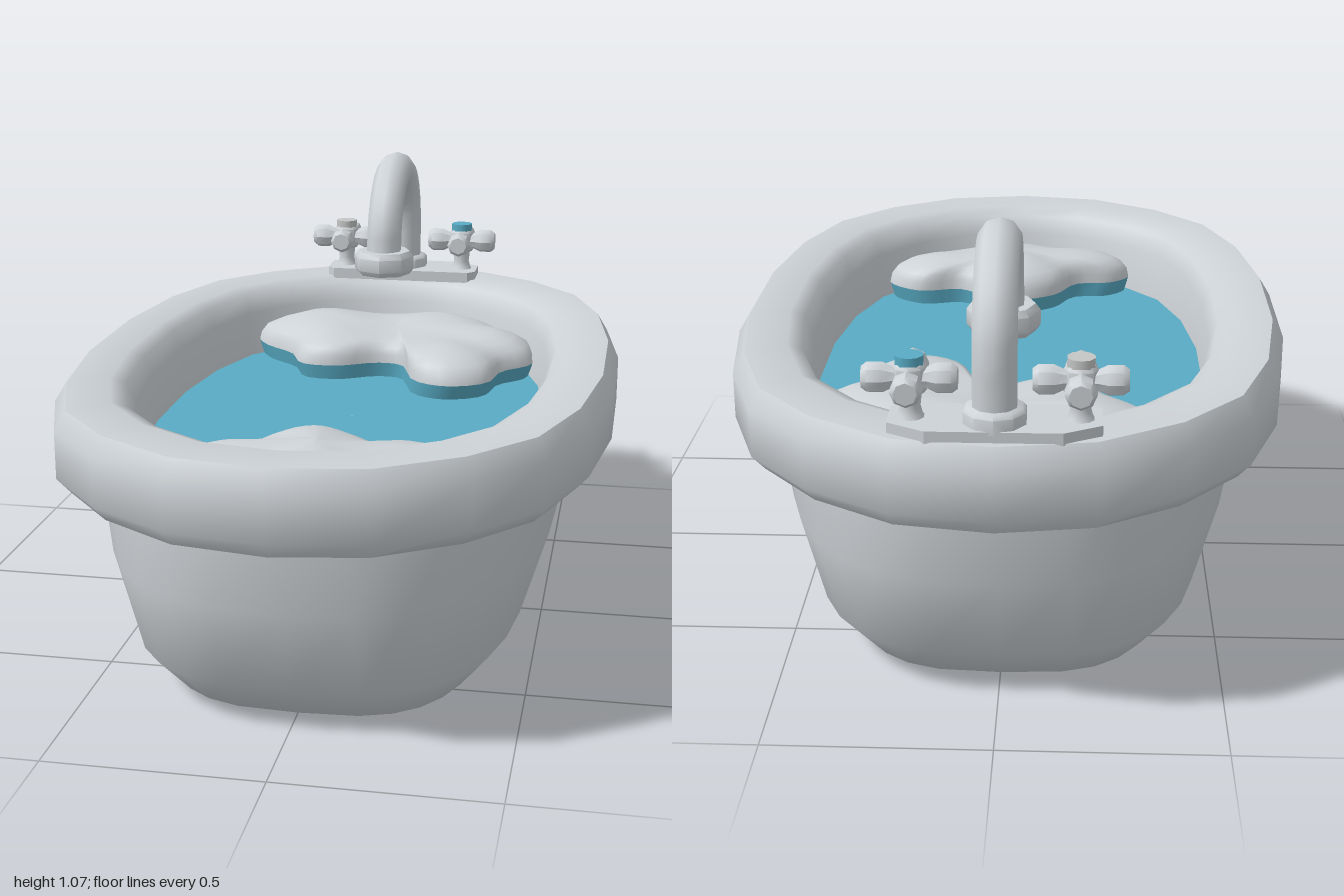
import * as THREE from 'three';
import { toCreasedNormals } from 'three/addons/utils/BufferGeometryUtils.js';

const mat = (name, color, side = THREE.FrontSide) => {
  const m = new THREE.MeshStandardMaterial({ color, side });
  m.name = name;
  return m;
};

// Joins closed rings of [x, y, z] points into a skin; rings run +z towards +x, bottom to top.
function loft(rings, crease = 0.9) {
  const n = rings[0].length, index = [];
  for (let i = 0; i < rings.length - 1; i++) {
    for (let j = 0; j < n; j++) {
      const k = (j + 1) % n;
      const a = i * n + j, b = i * n + k, c = a + n, d = b + n;
      index.push(a, b, d, a, d, c);
    }
  }
  const g = new THREE.BufferGeometry();
  g.setAttribute('position', new THREE.Float32BufferAttribute(rings.flat(2), 3));
  g.setIndex(index);
  return toCreasedNormals(g, crease);
}

// Unit oval of the rim: one quadrant mirrored to 22 points.
function ovalOutline() {
  const q = [[0, 1], [0.33, 0.965], [0.61, 0.85], [0.82, 0.69], [0.94, 0.46], [1, 0.17]];
  const right = [...q, ...q.slice().reverse().map(([x, z]) => [x, -z])];
  const left = right.slice(1, -1).reverse().map(([x, z]) => [-x, z]);
  return [...right, ...left];
}

// Rounded rectangle ring for the body.
function bodyRing(rx, rz, y, power, n = 32) {
  return Array.from({ length: n }, (_, i) => {
    const a = (i / n) * Math.PI * 2, s = Math.sin(a), c = Math.cos(a);
    const p = 2 / power;
    return [rx * Math.sign(s) * Math.abs(s) ** p, y, rz * Math.sign(c) * Math.abs(c) ** p];
  });
}

// Lumpy foam patch: a star-shaped outline stepped inwards into a dome.
function foam(name, points, center, bumps, foamMat, waterMat, waterY) {
  const curve = new THREE.CatmullRomCurve3(points.map(([x, z]) => new THREE.Vector3(x, 0, z)), true);
  const outline = curve.getPoints(56).slice(0, -1);
  const ring = (s, h) => outline.map((p) => {
    const x = center[0] + (p.x - center[0]) * s, z = center[1] + (p.z - center[1]) * s;
    let lump = 0;
    for (const [bx, bz, r, k] of bumps) lump += k * Math.exp(-((x - bx) ** 2 + (z - bz) ** 2) / (r * r));
    return [x, waterY + h + lump * Math.max(0, 1 - s) ** 0.5, z];
  });
  const group = new THREE.Group();
  group.name = name;
  const skirt = new THREE.Mesh(loft([ring(0.95, -0.02), ring(0.98, 0.015), ring(1, 0.04)], 3), waterMat);
  skirt.name = 'foamWetEdge';
  const steps = [[1, 0.04], [0.985, 0.062], [0.94, 0.08], [0.85, 0.092], [0.7, 0.097], [0.5, 0.1], [0.25, 0.1], [0.001, 0.1]];
  const cap = new THREE.Mesh(loft(steps.map(([s, h]) => ring(s, h)), 3), foamMat);
  cap.name = 'foamTop';
  group.add(skirt, cap);
  return group;
}

const lathe = (pts, sides, crease = 0.9) =>
  toCreasedNormals(new THREE.LatheGeometry(pts.map(([r, y]) => new THREE.Vector2(r, y)), sides), crease);

export function createModel() {
  const model = new THREE.Group();
  const porcelain = mat('porcelain grey', 0xcdd2d6);
  const metal = mat('pipe grey', 0xcdd2d6, THREE.DoubleSide);
  const water = mat('water blue', 0x58abc4);
  const plain = mat('plain cap grey', 0xc4c5c5);
  const add = (name, geo, material, parent = model) => {
    const m = new THREE.Mesh(geo, material);
    m.name = name;
    parent.add(m);
    return m;
  };
  const waterY = 0.5, oval = ovalOutline();
  const ovalRing = (rx, rz, y) => oval.map(([x, z]) => [x * rx, y, z * rz]);

  // Tapered body with a flat bottom
  add('tubBody', loft([
    bodyRing(0.001, 0.001, 0, 3.2),
    bodyRing(0.39, 0.69, 0.005, 3.2),
    bodyRing(0.47, 0.79, 0.105, 3),
    bodyRing(0.535, 0.848, 0.31, 2.7),
    bodyRing(0.58, 0.858, 0.5, 2.4),
  ], 1), porcelain);

  // Thick rim rolling over into the inner wall
  add('rim', loft([
    ovalRing(0.5, 0.76, 0.495),
    ovalRing(0.632, 0.975, 0.495),
    ovalRing(0.664, 1, 0.53),
    ovalRing(0.664, 1, 0.64),
    ovalRing(0.637, 0.975, 0.685),
    ovalRing(0.54, 0.86, 0.685),
    ovalRing(0.507, 0.815, 0.668),
    ovalRing(0.488, 0.79, 0.62),
    ovalRing(0.475, 0.775, 0.48),
  ]), porcelain);

  // Water surface
  add('water', loft([ovalRing(0.48, 0.78, waterY), ovalRing(0.001, 0.001, waterY)]), water);

  // Foam patches at both ends
  model.add(foam('backFoam', [
    [0, -0.75], [0.2, -0.73], [0.31, -0.67], [0.35, -0.6], [0.42, -0.53], [0.42, -0.42], [0.35, -0.34],
    [0.32, -0.22], [0.22, -0.17], [0.13, -0.21], [0.07, -0.36], [0, -0.37], [-0.1, -0.32], [-0.2, -0.33],
    [-0.25, -0.43], [-0.34, -0.51], [-0.38, -0.6], [-0.29, -0.68], [-0.15, -0.73],
  ].reverse(), [0.03, -0.54],
  [[0.22, -0.28, 0.09, 0.04], [0.32, -0.48, 0.1, 0.04], [-0.15, -0.42, 0.1, 0.03], [-0.2, -0.62, 0.13, 0.05], [0.15, -0.64, 0.12, 0.04]],
  porcelain, water, waterY));
  model.add(foam('frontFoam', [
    [-0.31, 0.63], [-0.26, 0.57], [-0.16, 0.55], [-0.1, 0.45], [0, 0.4], [0.1, 0.44], [0.17, 0.49], [0.28, 0.47],
    [0.37, 0.54], [0.36, 0.61], [0.25, 0.69], [0.1, 0.76], [-0.05, 0.76], [-0.15, 0.72], [-0.28, 0.69],
  ].reverse(), [0.03, 0.6],
  [[0, 0.5, 0.1, 0.04], [0.25, 0.56, 0.1, 0.03], [-0.18, 0.63, 0.1, 0.03], [0.03, 0.68, 0.1, 0.03]],
  porcelain, water, waterY));

  // Tap mounting plate with cut corners
  const s = new THREE.Shape([
    [-0.22, 0.82], [-0.2, 0.8], [0.2, 0.8], [0.22, 0.82], [0.22, 0.91], [0.14, 0.955], [-0.14, 0.955], [-0.22, 0.91],
  ].map(([x, y]) => new THREE.Vector2(x, y)));
  const plate = new THREE.ExtrudeGeometry(s, { depth: 0.03, bevelEnabled: false });
  plate.rotateX(-Math.PI / 2).translate(0, 0.678, 0);
  add('tapPlate', plate, porcelain);

  // Curved spout with collar and nozzle ring
  const path = new THREE.CurvePath();
  const backZ = -0.89, frontZ = -0.5, midZ = -0.695, arcY = 0.83, r = 0.195;
  const arc = Array.from({ length: 13 }, (_, i) => {
    const a = (i / 12) * Math.PI;
    return new THREE.Vector3(0, arcY + r * Math.sin(a), midZ - r * Math.cos(a));
  });
  path.add(new THREE.LineCurve3(new THREE.Vector3(0, 0.7, backZ), arc[0]));
  path.add(new THREE.CatmullRomCurve3(arc));
  path.add(new THREE.LineCurve3(arc[12], new THREE.Vector3(0, 0.775, frontZ)));
  add('spout', new THREE.TubeGeometry(path, 28, 0.048, 10), metal);
  add('spoutCollar', lathe([[0.068, 0.7], [0.068, 0.733], [0.06, 0.742], [0, 0.742]], 10), porcelain)
    .position.z = backZ;
  add('nozzleRing', lathe([
    [0, 0.78], [0.05, 0.78], [0.058, 0.766], [0.072, 0.766], [0.083, 0.78], [0.083, 0.815], [0.072, 0.83], [0.045, 0.83],
  ], 8), porcelain).position.z = frontZ;

  // Pair of cross handles
  const arm = lathe([[0.022, 0], [0.023, 0.035], [0.033, 0.055], [0.033, 0.086], [0.024, 0.098], [0, 0.098]], 8, 0.7);
  const hub = lathe([[0, -0.032], [0.03, -0.032], [0.036, -0.024], [0.036, 0.024], [0.03, 0.032], [0, 0.032]], 8);
  const stem = lathe([[0.034, 0.7], [0.026, 0.715], [0.022, 0.73], [0.026, 0.765]], 10);
  const capGeo = new THREE.CylinderGeometry(0.03, 0.03, 0.02, 10);
  for (const side of [-1, 1]) {
    const tap = new THREE.Group();
    tap.name = side > 0 ? 'leftTap' : 'rightTap';
    tap.position.set(side * 0.174, 0, -0.872);
    add('tapStem', stem, porcelain, tap);
    add('tapHub', hub, porcelain, tap).position.y = 0.792;
    for (let i = 0; i < 4; i++) {
      const a = add('tapArm', arm, porcelain, tap);
      a.position.y = 0.792;
      a.rotation.set(Math.PI / 2, 0, (i * Math.PI) / 2, 'YXZ');
    }
    add('tapCap', capGeo, side > 0 ? water : plain, tap).position.y = 0.832;
    model.add(tap);
  }
  return model;
}
